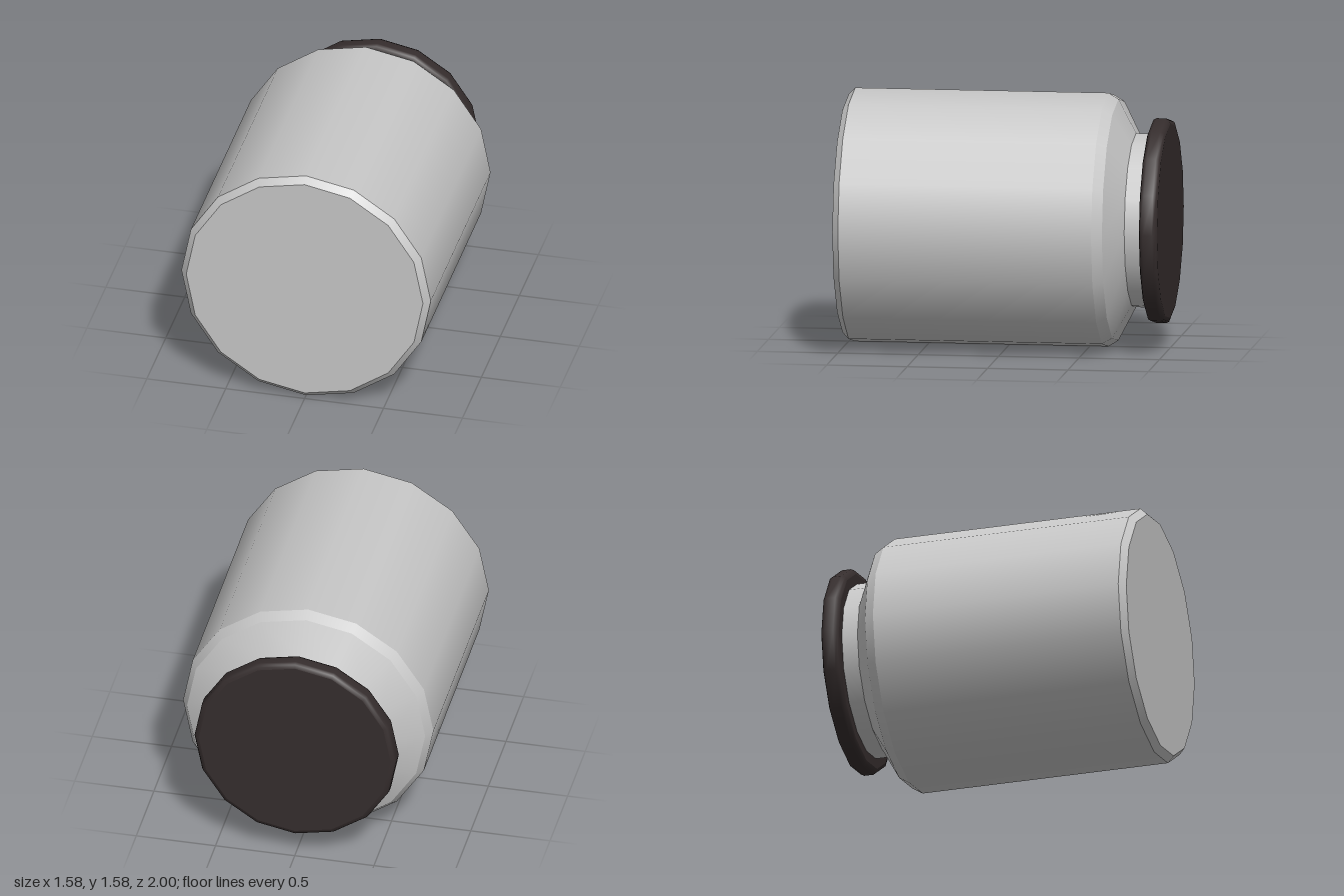
import * as THREE from 'three';

const SIDES = 16, AXIS_Y = 0.793;

// Revolve [radius, distance towards the back] points around the lying axis.
function turned(name, points, material) {
  const profile = points.map(([r, d]) => new THREE.Vector2(r, d));
  const geometry = new THREE.LatheGeometry(profile, SIDES);
  geometry.rotateX(-Math.PI / 2);
  const mesh = new THREE.Mesh(geometry, material);
  mesh.name = name;
  return mesh;
}

export function createModel() {
  const model = new THREE.Group();
  model.name = 'jar';
  const glass = new THREE.MeshStandardMaterial({ color: 0xc6c6c6 });
  glass.name = 'light grey';
  const dark = new THREE.MeshStandardMaterial({ color: 0x352d2d });
  dark.name = 'dark brown';

  // Separate sections keep the edges between them sharp.
  const body = new THREE.Group();
  body.name = 'body';
  body.add(
    turned('base', [[0, -1], [0.75, -1]], glass),
    turned('baseBevel', [[0.75, -1], [0.79, -0.96]], glass),
    turned('wall', [[0.79, -0.96], [0.79, 0.615]], glass),
    turned('shoulderBevel', [[0.79, 0.615], [0.752, 0.677]], glass),
    turned('shoulder', [[0.752, 0.677], [0.542, 0.787]], glass),
    turned('neck', [[0.542, 0.787], [0.542, 0.9]], glass),
  );

  // Lid with a softly rounded rim
  const lid = new THREE.Group();
  lid.name = 'lid';
  lid.add(
    turned('lidUnderside', [[0, 0.887], [0.605, 0.887]], dark),
    turned('lidRim', [[0.605, 0.887], [0.628, 0.895], [0.638, 0.915],
      [0.638, 0.972], [0.628, 0.992], [0.605, 1]], dark),
    turned('lidTop', [[0.605, 1], [0, 1]], dark),
  );

  model.add(body, lid);
  for (const part of model.children) part.position.y = AXIS_Y;
  return model;
}
